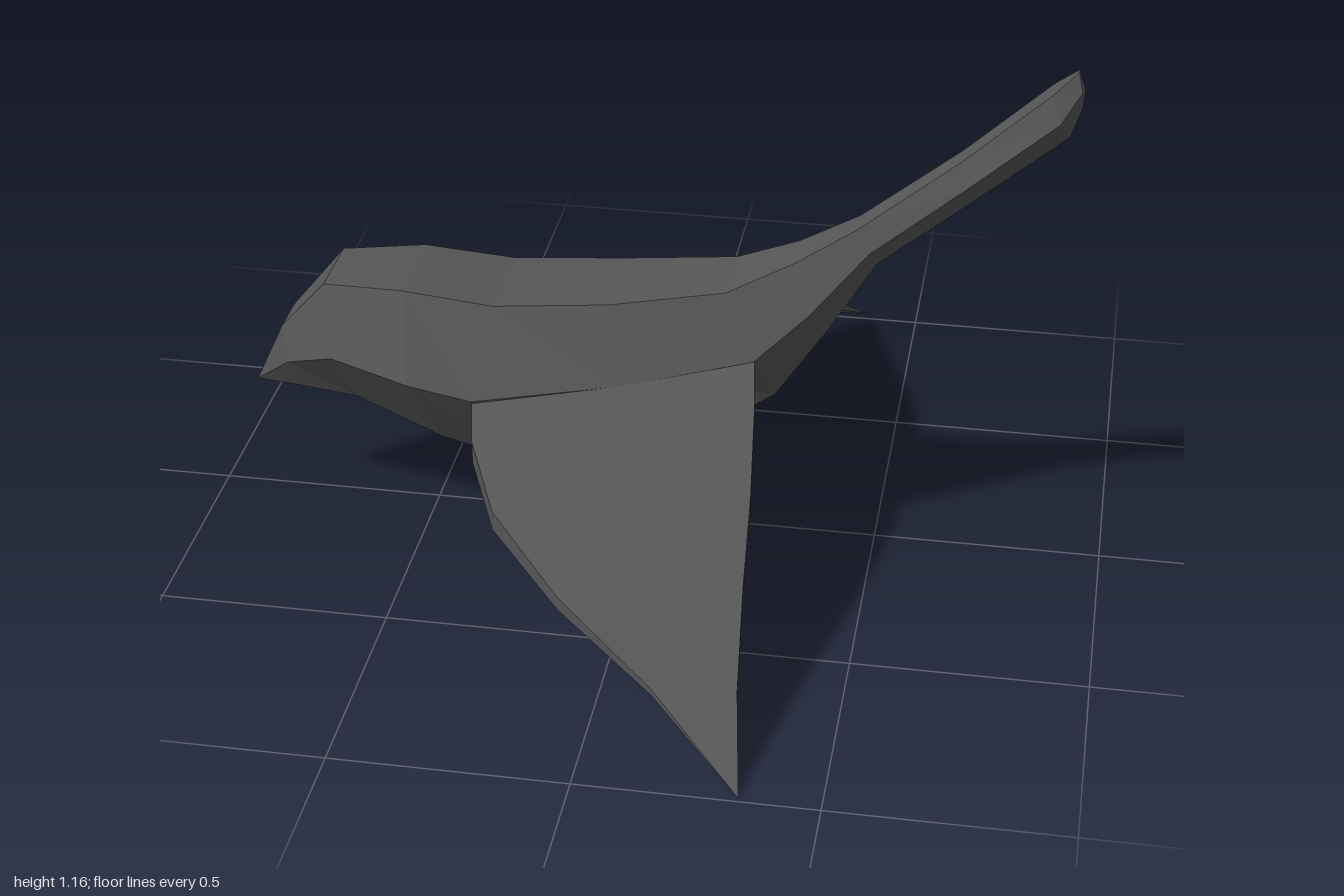
import * as THREE from 'three';

// Skins a row of equal-length rings; ring corners run counter-clockwise about the row's direction.
function loft(rings, material, name) {
  const pos = [];
  for (let r = 0; r < rings.length - 1; r++) {
    const a = rings[r], b = rings[r + 1], n = a.length;
    for (let i = 0; i < n; i++) {
      const j = (i + 1) % n;
      pos.push(...a[i], ...a[j], ...b[j], ...a[i], ...b[j], ...b[i]);
    }
  }
  const g = new THREE.BufferGeometry();
  g.setAttribute('position', new THREE.Float32BufferAttribute(pos, 3));
  g.computeVertexNormals();
  const mesh = new THREE.Mesh(g, material);
  mesh.name = name;
  return mesh;
}

// Body stations from beak to tail: [x, y, half width] at the top, side and bottom edges.
const STATIONS = [
  [[-0.9, 0.3, 0], [-0.9, 0.3, 0], [-0.9, 0.3, 0]],
  [[-0.82, 0.47, 0.05], [-0.8, 0.4, 0.09], [-0.79, 0.32, 0.05]],
  [[-0.71, 0.6, 0.085], [-0.68, 0.46, 0.165], [-0.65, 0.32, 0.08]],
  [[-0.53, 0.61, 0.11], [-0.5, 0.435, 0.215], [-0.45, 0.25, 0.11]],
  [[-0.33, 0.59, 0.115], [-0.36, 0.41, 0.22], [-0.24, 0.2, 0.12]],
  [[-0.08, 0.61, 0.11], [-0.05, 0.455, 0.19], [0.03, 0.24, 0.11]],
  [[0.17, 0.645, 0.085], [0.24, 0.515, 0.145], [0.28, 0.4, 0.075]],
  [[0.31, 0.71, 0.055], [0.35, 0.61, 0.1], [0.38, 0.54, 0.045]],
  [[0.44, 0.79, 0.035], [0.47, 0.745, 0.055], [0.485, 0.71, 0.03]],
  [[0.65, 0.96, 0.03], [0.66, 0.905, 0.055], [0.68, 0.87, 0.027]],
  [[0.83, 1.125, 0.03], [0.85, 1.07, 0.053], [0.87, 1.03, 0.025]],
  [[0.88, 1.17, 0.008], [0.89, 1.13, 0.02], [0.892, 1.09, 0.012]],
  [[0.895, 1.13, 0], [0.895, 1.13, 0], [0.895, 1.13, 0]],
];

// Wing stations from root to tip: leading corner, trailing corner, thickness.
const WING = [
  [[-0.36, 0.41, 0.235], [0.24, 0.52, 0.145], 0.06],
  [[-0.34, 0.36, 0.33], [0.258, 0.47, 0.26], 0.05],
  [[-0.26, 0.3, 0.5], [0.278, 0.365, 0.45], 0.045],
  [[-0.09, 0.21, 0.66], [0.288, 0.25, 0.62], 0.03],
  [[0.13, 0.115, 0.81], [0.305, 0.13, 0.81], 0.015],
  [[0.335, 0.005, 0.99], [0.335, 0.005, 0.99], 0],
];

export function createModel() {
  const group = new THREE.Group();
  group.name = 'bird';
  const material = new THREE.MeshStandardMaterial({ color: 0x555555, flatShading: true });

  // Six-sided body, turned slightly about the vertical axis
  const place = ([x, y, w], s) => [x, y, s * w + 0.018 - 0.026 * x];
  const body = STATIONS.map(st => [
    ...st.map(p => place(p, 1)),
    ...[...st].reverse().map(p => place(p, -1)),
  ]);
  group.add(loft(body, material, 'body'));

  // Drooping swept wing
  const leftWing = WING.map(([lead, trail, t]) => [
    lead,
    [lead[0], lead[1] - t, lead[2]],
    [trail[0], trail[1] - t, trail[2]],
    trail,
  ]);
  group.add(loft(leftWing, material, 'nearWing'));

  // Opposite wing, mirrored and following the turn of the body
  const rightWing = leftWing.map(ring => ring
    .map(([x, y, z]) => [x + 0.045 * z, y + 0.02 * z, -(z - 0.035 * (1 - z))])
    .reverse());
  group.add(loft(rightWing, material, 'farWing'));

  return group;
}
